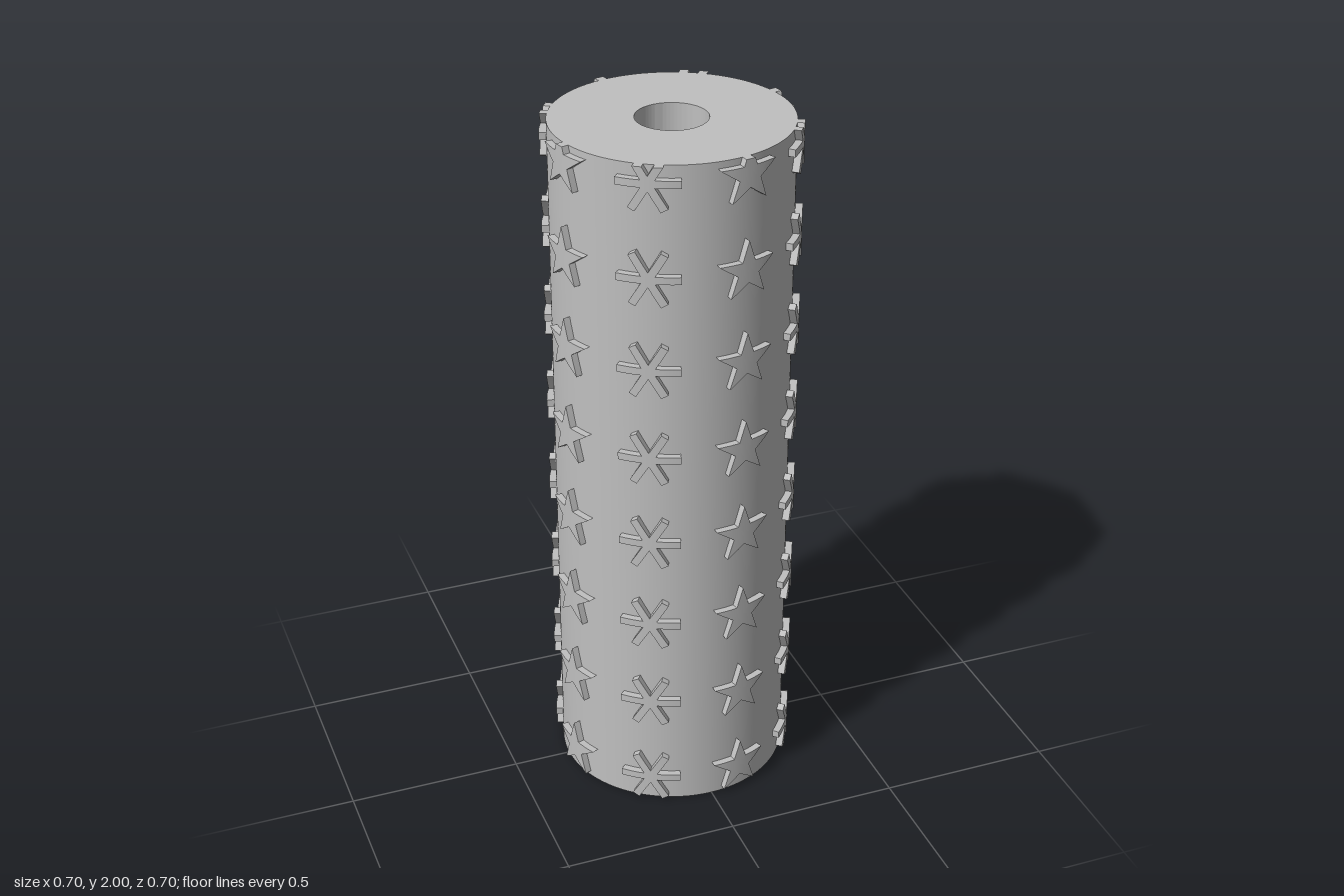
import * as THREE from 'three';
import { toCreasedNormals } from 'three/addons/utils/BufferGeometryUtils.js';

const R = 0.332, R_OUT = 0.352, BORE = 0.1, HEIGHT = 2;
const ROWS = 8, FIRST_ROW = 0.085, PITCH = 0.267;
const STRIP = 0.0157, STRIPS = 12;

// Keep the part of a convex polygon where point[axis] * sign <= limit * sign
function clip(poly, axis, limit, sign) {
  const out = [];
  poly.forEach((a, i) => {
    const b = poly[(i + 1) % poly.length];
    const da = (a[axis] - limit) * sign, db = (b[axis] - limit) * sign;
    if (da <= 0) out.push(a);
    if ((da < 0 && db > 0) || (da > 0 && db < 0)) {
      const t = da / (da - db);
      const p = [a[0] + (b[0] - a[0]) * t, a[1] + (b[1] - a[1]) * t];
      p[axis] = limit;
      out.push(p);
    }
  });
  return out;
}

const polar = (r, angle) => [r * Math.cos(angle), r * Math.sin(angle)];

// Convex points of a five-pointed star, meeting at its centre
function starPieces(radius) {
  return Array.from({ length: 5 }, (_, i) => {
    const a = Math.PI / 2 + i * Math.PI * 0.4, inner = radius * 0.382;
    return [[0, 0], polar(inner, a - Math.PI / 5), polar(radius, a), polar(inner, a + Math.PI / 5)];
  });
}

// Six straight arms, meeting at the centre
function snowflakePieces(radius, width) {
  return Array.from({ length: 6 }, (_, i) => {
    const a = i * Math.PI / 3, tip = Math.atan2(width / 2, radius), d = Math.hypot(radius, width / 2);
    return [[0, 0], polar(width, a - Math.PI / 6), polar(d, a - tip), polar(d, a + tip), polar(width, a + Math.PI / 6)];
  });
}

// Wrap flat pieces around the cylinder as a raised relief, cut off at height top
function reliefGeometry(pieces, top) {
  const pos = [];
  const put = ([u, y], r) => pos.push(r * Math.sin(u / R), y, r * Math.cos(u / R));
  for (const piece of pieces) {
    const trimmed = clip(piece, 1, top, 1);
    for (let s = 0; s < STRIPS; s++) {
      const x0 = (s - STRIPS / 2) * STRIP, x1 = (s + 1 - STRIPS / 2) * STRIP;
      const poly = clip(clip(trimmed, 0, x0, -1), 0, x1, 1);
      if (poly.length < 3) continue;
      // Curved face
      for (let i = 1; i < poly.length - 1; i++) {
        put(poly[0], R_OUT); put(poly[i], R_OUT); put(poly[i + 1], R_OUT);
      }
      // Side walls, only along the outline
      poly.forEach((a, i) => {
        const b = poly[(i + 1) % poly.length];
        const onStrip = [x0, x1].some(x => Math.abs(a[0] - x) < 1e-7 && Math.abs(b[0] - x) < 1e-7);
        const onSpoke = Math.abs(a[0] * b[1] - a[1] * b[0]) < 1e-8;
        if (onStrip || onSpoke) return;
        const inner = R - 0.001;
        put(a, inner); put(b, inner); put(b, R_OUT);
        put(a, inner); put(b, R_OUT); put(a, R_OUT);
      });
    }
  }
  const geometry = new THREE.BufferGeometry();
  geometry.setAttribute('position', new THREE.Float32BufferAttribute(pos, 3));
  return toCreasedNormals(geometry, Math.PI / 6);
}

export function createModel() {
  const model = new THREE.Group();
  model.name = 'patternRoller';
  const grey = new THREE.MeshStandardMaterial({ color: 0xc0c0c0 });
  grey.name = 'grey';

  // Roller body with a bore through its axis
  const ring = new THREE.Shape().absarc(0, 0, R, 0, Math.PI * 2, false);
  ring.holes.push(new THREE.Path().absarc(0, 0, BORE, 0, Math.PI * 2, true));
  const tube = new THREE.ExtrudeGeometry(ring, { depth: HEIGHT, bevelEnabled: false, curveSegments: 96 });
  tube.rotateX(-Math.PI / 2);
  const body = new THREE.Mesh(toCreasedNormals(tube, Math.PI / 6), grey);
  body.name = 'rollerBody';
  model.add(body);

  // Alternating columns of stars and snowflakes
  const lastRow = FIRST_ROW + (ROWS - 1) * PITCH;
  const motifs = [
    { name: 'star', pieces: starPieces(0.086), angle: 14.1 },
    { name: 'snowflake', pieces: snowflakePieces(0.083, 0.021), angle: 59.2 },
  ];
  for (const { name, pieces, angle } of motifs) {
    const whole = reliefGeometry(pieces, 1);
    const cut = reliefGeometry(pieces, HEIGHT - lastRow);
    for (let column = 0; column < 4; column++) {
      const group = new THREE.Group();
      group.name = name + 'Column';
      group.rotation.y = THREE.MathUtils.degToRad(angle + column * 90);
      for (let row = 0; row < ROWS; row++) {
        const mesh = new THREE.Mesh(row === ROWS - 1 ? cut : whole, grey);
        mesh.name = name;
        mesh.position.y = FIRST_ROW + row * PITCH;
        group.add(mesh);
      }
      model.add(group);
    }
  }
  return model;
}
